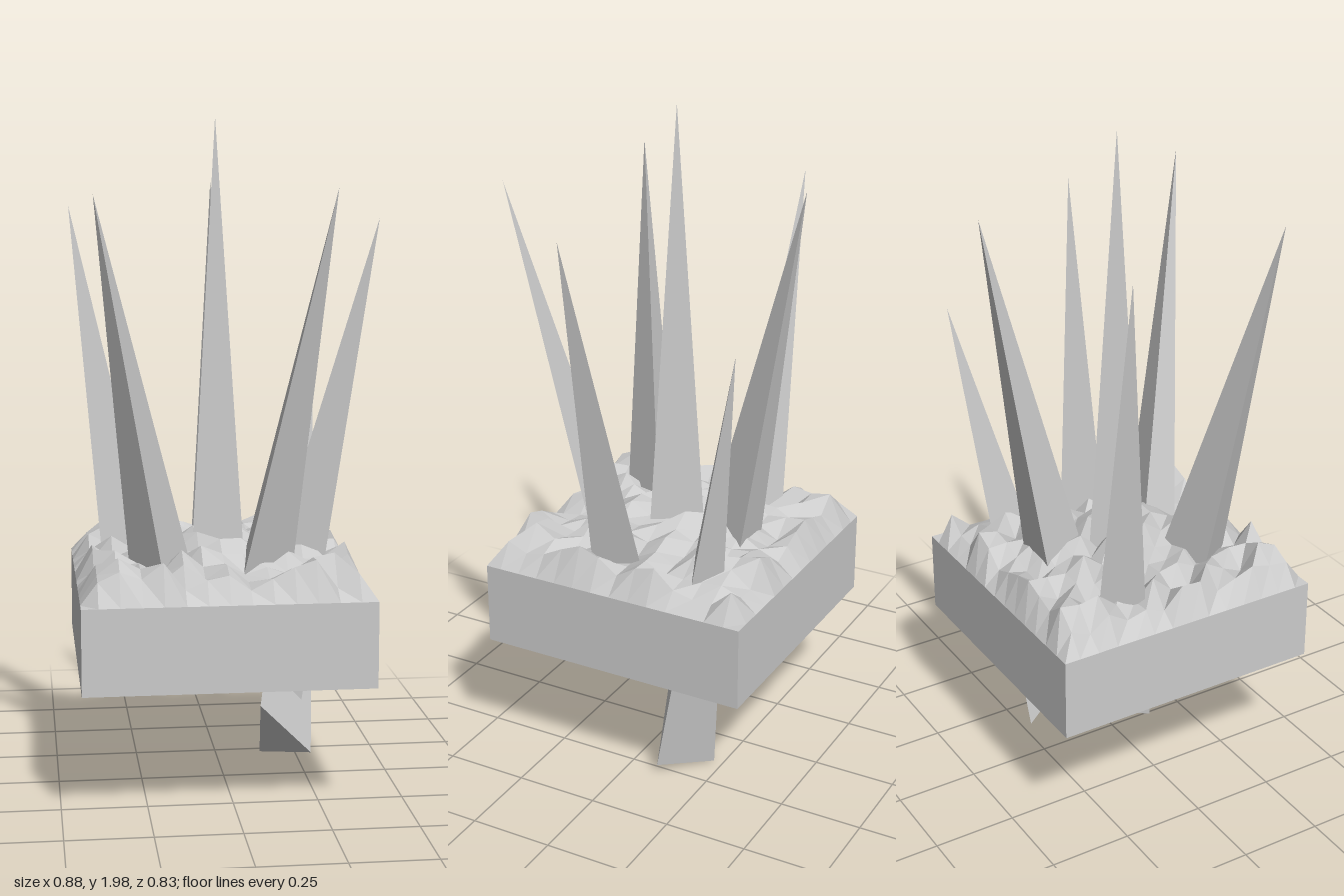
import * as THREE from 'three';
import { ConvexGeometry } from 'three/addons/geometries/ConvexGeometry.js';

const CX = -0.025, CZ = -0.002; // centre of the block
const SIZE = 0.835, TOP = 0.63, BOTTOM = 0.38;

function seeded(seed) {
  return () => {
    seed = (seed * 1664525 + 1013904223) >>> 0;
    return seed / 4294967296;
  };
}

// Height field: a rim level with the block, then rough ground rising to the middle
function rockyGround() {
  const n = 14, step = 0.0615, half = n / 2;
  const geo = new THREE.PlaneGeometry(n, n, n, n).rotateX(-Math.PI / 2).rotateY(Math.PI / 2);
  const pos = geo.attributes.position;
  const rand = seeded(11);
  for (let i = 0; i < pos.count; i++) {
    const gx = Math.round(pos.getX(i)), gz = Math.round(pos.getZ(i));
    const ring = Math.max(Math.abs(gx), Math.abs(gz));
    const place = (g) => (Math.abs(g) === half ? Math.sign(g) * SIZE / 2 : g * step);
    const r = rand();
    const y = ring === half ? TOP : 0.655 + 0.04 * (1 - ring / half) + 0.085 * r;
    pos.setXYZ(i, place(gx), y, place(gz));
  }
  geo.computeVertexNormals();
  return geo;
}

// Three-sided spikes: tip first, then the three base corners
const spikes = {
  centreSpike: [[-0.025, 1.98, 0], [-0.025, 0.4, -0.117], [-0.117, 0.4, 0.052], [0.073, 0.4, 0.06]],
  backSpike: [[0.005, 1.79, -0.415], [-0.008, 0.42, -0.03], [-0.095, 0.36, -0.216], [0.098, 0.36, -0.216]],
  backLeftSpike: [[0.325, 1.41, -0.365], [0.12, 0.2, -0.05], [0.14, 0, -0.22], [0.285, 0.03, -0.1]],
  leftSpike: [[0.44, 1.69, 0.112], [0.062, 0.42, 0.04], [0.197, 0.35, -0.08], [0.22, 0.265, 0.117]],
  frontLeftSpike: [[0.272, 1.78, 0.388], [-0.02, 0.42, 0.08], [-0.03, 0.4, 0.21], [0.16, 0.4, 0.115]],
  frontRightSpike: [[-0.393, 1.76, 0.31], [-0.04, 0.42, 0.06], [-0.26, 0.36, 0.093], [-0.143, 0.35, 0.255]],
  backRightSpike: [[-0.445, 1.72, -0.207], [-0.139, 0.4, -0.076], [-0.325, 0.265, -0.065], [-0.245, 0.28, -0.233]],
};

export function createModel() {
  const group = new THREE.Group();
  const material = new THREE.MeshStandardMaterial({ color: 0xcccccc, flatShading: true });
  const add = (name, geo) => {
    const mesh = new THREE.Mesh(geo, material);
    mesh.name = name;
    group.add(mesh);
    return mesh;
  };

  // Ground block and rough surface
  add('groundBlock', new THREE.BoxGeometry(SIZE, TOP - BOTTOM, SIZE))
    .position.set(CX, (TOP + BOTTOM) / 2, CZ);
  add('rockyGround', rockyGround()).position.set(CX, 0, CZ);

  // Leaning spikes driven through the block
  for (const [name, corners] of Object.entries(spikes)) {
    add(name, new ConvexGeometry(corners.map((c) => new THREE.Vector3(...c))));
  }
  return group;
}
